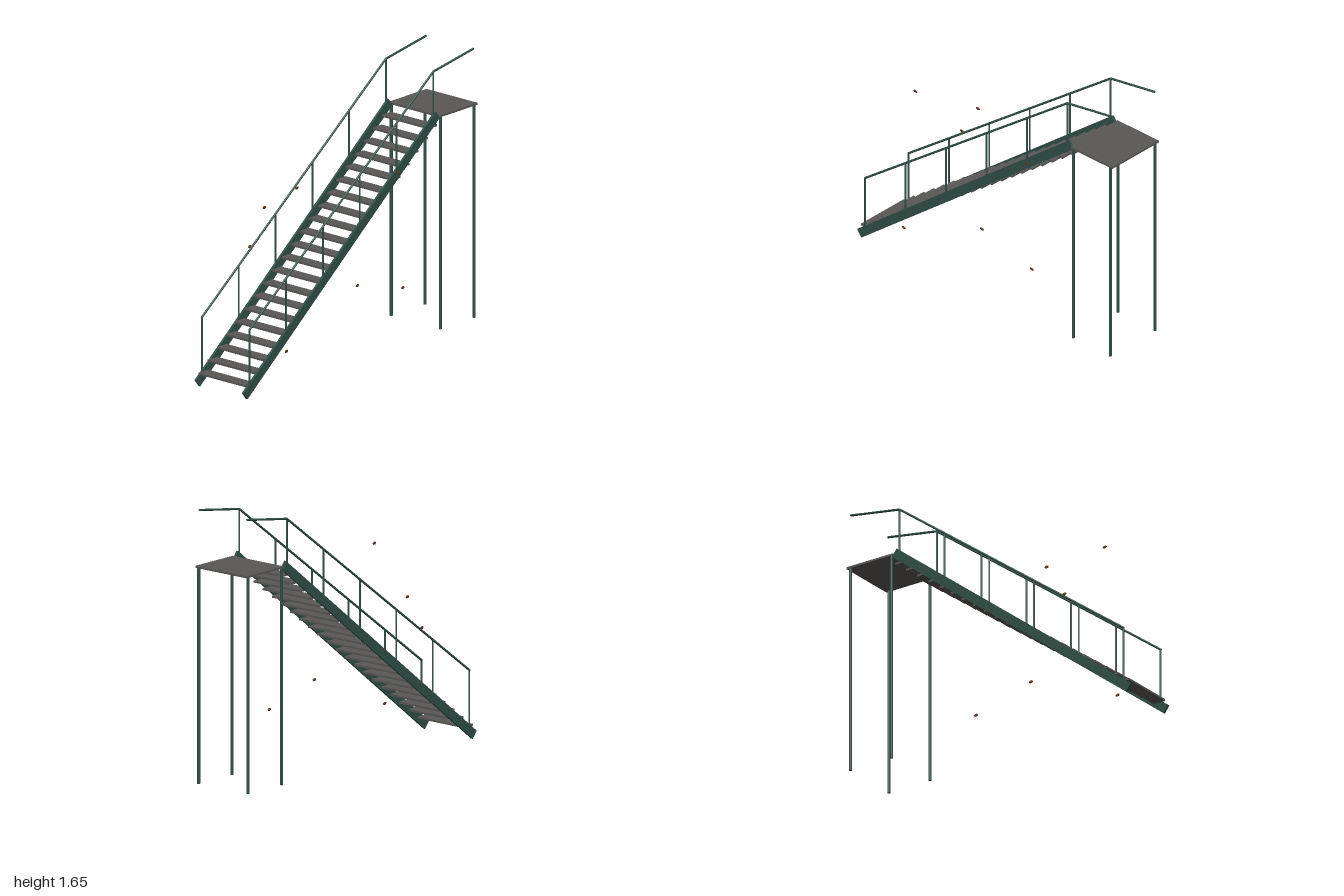
import * as THREE from 'three';

const GREEN = new THREE.MeshStandardMaterial({ color: 0x2f5047 });
const GREY = new THREE.MeshStandardMaterial({ color: 0x5a5857 });
const BROWN = new THREE.MeshStandardMaterial({ color: 0x6b3a22 });

export function createModel() {
  const model = new THREE.Group();

  const add = (name, geometry, material, x, y, z, parent = model) => {
    const mesh = new THREE.Mesh(geometry, material);
    mesh.name = name;
    mesh.position.set(x, y, z);
    parent.add(mesh);
    return mesh;
  };

  // Round bar between two points
  const bar = (name, a, b, radius, parent) => {
    const from = new THREE.Vector3(...a), to = new THREE.Vector3(...b);
    const dir = to.clone().sub(from);
    const mid = from.clone().add(to).multiplyScalar(0.5);
    const mesh = add(name, new THREE.CylinderGeometry(radius, radius, dir.length(), 12), GREEN, mid.x, mid.y, mid.z, parent);
    mesh.quaternion.setFromUnitVectors(new THREE.Vector3(0, 1, 0), dir.normalize());
    return mesh;
  };

  // Treads
  const treads = new THREE.Group();
  treads.name = 'treads';
  model.add(treads);
  const treadGeometry = new THREE.BoxGeometry(0.356, 0.012, 0.078);
  for (let i = 0; i < 21; i++) {
    add('tread', treadGeometry, GREY, -0.002, 0.08 + 0.0588 * i, 0.941 - 0.0787 * i, treads);
  }

  // Stringers, handrails and posts, one set on each side
  const rise = 1.3, run = 1.653;
  const stringerGeometry = new THREE.BoxGeometry(0.014, 0.055, Math.hypot(rise, run));
  const stringerY = z => 0.022 + (0.985 - z) * rise / run;
  const railY = z => 0.41 + (0.945 - z) * 1.178 / 1.58;

  for (const side of [-1, 1]) {
    const group = new THREE.Group();
    group.name = side > 0 ? 'leftSide' : 'rightSide';
    group.position.x = -0.002 + side * 0.182;
    model.add(group);

    const stringer = add('stringer', stringerGeometry, GREEN, 0, 0.672, 0.1585, group);
    stringer.rotation.x = Math.atan2(rise, run);

    bar('slopedHandrail', [0, railY(0.945), 0.945], [0, railY(-0.635), -0.635], 0.0065, group);
    bar('upperHandrail', [0, railY(-0.635), -0.635], [0, 1.644, -0.98], 0.0065, group);
    for (const z of [0.945, -0.635]) {
      add('railJoint', new THREE.SphereGeometry(0.0065, 12, 8), GREEN, 0, railY(z), z, group);
    }
    for (let i = 0; i < 6; i++) {
      const z = 0.945 - 0.316 * i;
      bar('railPost', [0, stringerY(z), z], [0, railY(z), z], 0.0055, group);
    }
  }

  // Landing and its legs
  add('landing', new THREE.BoxGeometry(0.392, 0.012, 0.325), GREY, -0.002, 1.311, -0.8375);
  for (const x of [-0.19, 0.187]) {
    for (const z of [-0.688, -0.978]) {
      bar('landingLeg', [x, 0.03, z], [x, 1.306, z], 0.009, model);
    }
  }

  // Small flat rust spots beside the stair: side, y, z
  const spots = [
    [1, 1.17, 0.545], [-1, 0.94, 0.405], [-1, 0.735, 0.53], [1, 0.46, 0.025],
    [1, 0.355, -0.365], [1, 0.21, 0.635], [1, 1.055, -0.33],
  ];
  const spotGeometry = new THREE.SphereGeometry(1, 12, 8).scale(0.003, 0.009, 0.015);
  for (const [side, y, z] of spots) {
    add('rustSpot', spotGeometry, BROWN, side * 0.188, y, z);
  }

  return model;
}
